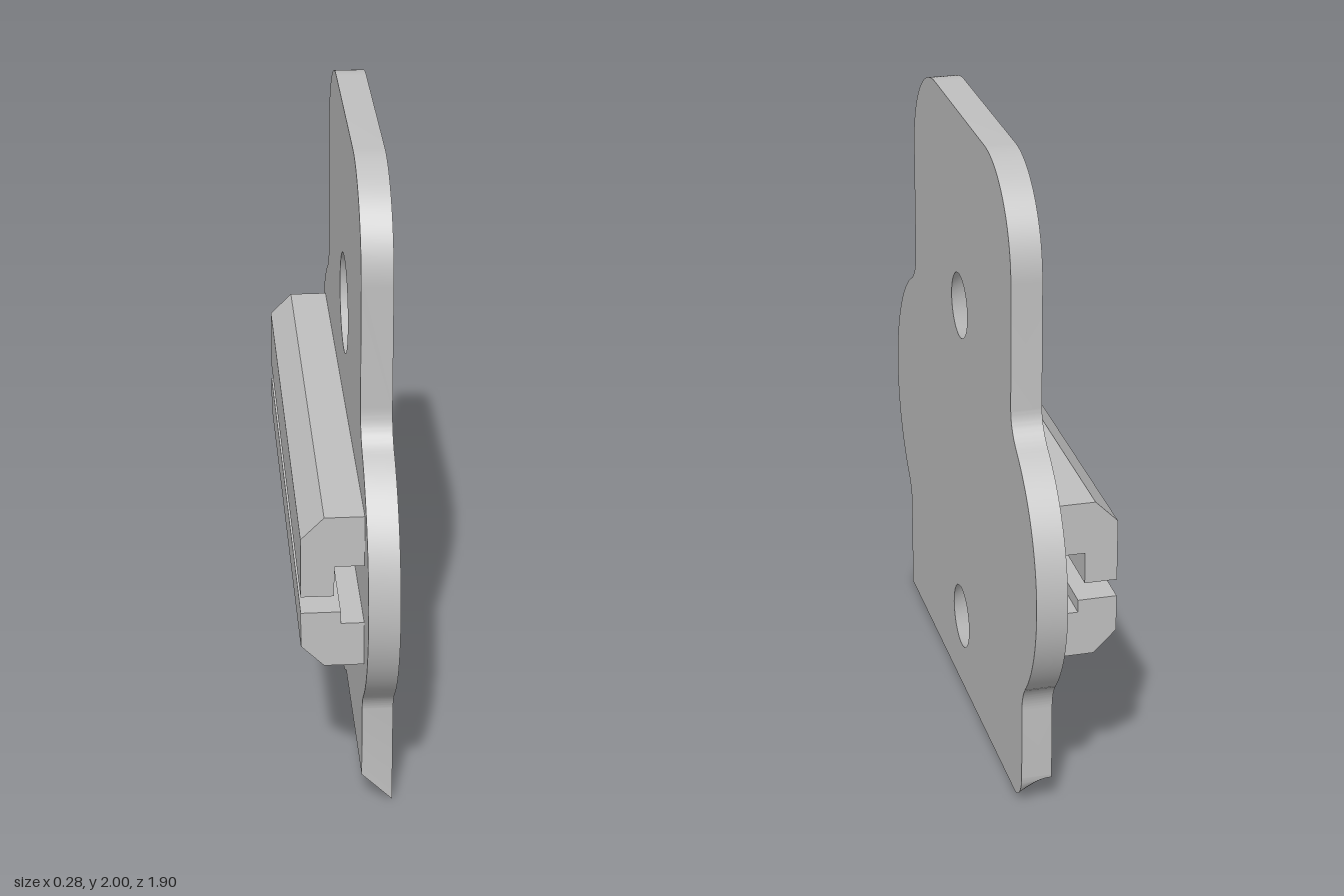
import * as THREE from 'three';
import { toCreasedNormals } from 'three/addons/utils/BufferGeometryUtils.js';

const BACK = 0.045, FRONT = 0.14;      // plate faces
const CHAMFER = 0.1;                   // height where the bottom chamfer meets the back face
const HOLES = [0.26, 1.365];           // hole heights
const HOLE_R = 0.105, SINK_R = 0.16, BOSS_R = 0.21;

// Plate outline, counter-clockwise
function outline() {
  const s = new THREE.Shape();
  s.moveTo(-0.75, 0.005);
  s.lineTo(0.69, 0.015);
  s.absellipse(0.69, 0.115, 0.095, 0.1, -Math.PI / 2, 0, false, 0);
  s.lineTo(0.785, 0.35);
  s.quadraticCurveTo(0.785, 0.4, 0.82, 0.44);
  s.absarc(0.47, 0.77, 0.48, -0.756, 1.023, false);
  s.quadraticCurveTo(0.645, 1.225, 0.645, 1.29);
  s.lineTo(0.645, 1.68);
  s.absellipse(0.33, 1.68, 0.315, 0.32, 0, Math.PI / 2, false, 0);
  s.lineTo(-0.31, 2);
  s.absellipse(-0.31, 1.69, 0.32, 0.31, Math.PI / 2, Math.PI, false, 0);
  s.lineTo(-0.63, 1.31);
  s.quadraticCurveTo(-0.63, 1.23, -0.7, 1.19);
  s.absarc(-0.47, 0.77, 0.48, 2.072, 3.942, false);
  s.quadraticCurveTo(-0.75, 0.38, -0.75, 0.33);
  return s.getPoints(20);
}

// Flat face with two round holes
function face(points, radius, depth) {
  const shape = new THREE.Shape(points);
  for (const y of HOLES) shape.holes.push(new THREE.Path().absarc(0, y, radius, 0, Math.PI * 2, true));
  return new THREE.ShapeGeometry(shape, 24).translate(0, 0, depth);
}

// Turn a geometry to face the other way
function flip(geometry) {
  geometry.index.array.reverse();
  geometry.computeVertexNormals();
  return geometry;
}

// Wall joining the back outline to the front outline
function wall(back, front) {
  const pos = [], n = front.length;
  const put = (p, z) => pos.push(p.x, p.y, z);
  for (let i = 0; i < n; i++) {
    const j = (i + 1) % n;
    put(back[i], BACK); put(back[j], BACK); put(front[j], FRONT);
    put(back[i], BACK); put(front[j], FRONT); put(front[i], FRONT);
  }
  const g = new THREE.BufferGeometry();
  g.setAttribute('position', new THREE.Float32BufferAttribute(pos, 3));
  return toCreasedNormals(g, 0.5);
}

// Open tube along the plate's thickness
function tube(rFront, rBack, z0, z1, y) {
  return new THREE.CylinderGeometry(rFront, rBack, z1 - z0, 48, 1, true)
    .rotateX(Math.PI / 2).translate(0, y, (z0 + z1) / 2);
}

export function createModel() {
  const model = new THREE.Group();
  model.name = 'mountingPlate';
  const grey = new THREE.MeshStandardMaterial({ color: 0xc0c0c0, side: THREE.DoubleSide });
  grey.name = 'grey';
  const add = (parent, name, geometry) => {
    const m = new THREE.Mesh(geometry, grey);
    m.name = name;
    parent.add(m);
  };

  // Plate, drawn facing +z and then turned to face +x
  const plate = new THREE.Group();
  plate.name = 'plate';
  plate.rotation.y = Math.PI / 2;
  model.add(plate);

  const front = outline();
  const back = front.map(p => new THREE.Vector2(p.x, Math.max(p.y, CHAMFER)));

  // Back face dips around the lower boss
  const half = Math.acos((HOLES[0] - CHAMFER) / BOSS_R);
  const dip = [];
  for (let i = 0; i <= 16; i++) {
    const a = -half + (2 * half * i) / 16;
    dip.push(new THREE.Vector2(BOSS_R * Math.sin(a), HOLES[0] - BOSS_R * Math.cos(a)));
  }
  const backFace = [back[0], ...dip, ...back.slice(1)];

  add(plate, 'frontFace', face(front, HOLE_R, FRONT));
  add(plate, 'backFace', flip(face(backFace, SINK_R, BACK)));
  add(plate, 'plateEdge', wall(back, front));
  for (const y of HOLES) add(plate, 'countersunkHole', flip(tube(HOLE_R, SINK_R, BACK, FRONT, y)));
  add(plate, 'lowerHoleBoss', tube(BOSS_R, BOSS_R, BACK, 0.1, HOLES[0]));

  // Two hooked rails along the back
  const rail = (name, profile) => {
    const shape = new THREE.Shape(profile.map(([x, y]) => new THREE.Vector2(x, y)));
    add(model, name, new THREE.ExtrudeGeometry(shape, { depth: 1.615, bevelEnabled: false }).translate(0, 0, -0.81));
  };
  rail('upperRail', [[0.045, 1.04], [-0.075, 1.04], [-0.145, 0.97], [-0.145, 0.775],
    [-0.045, 0.775], [-0.045, 0.875], [0.045, 0.875]]);
  rail('lowerRail', [[0.045, 0.68], [-0.025, 0.68], [-0.025, 0.72], [-0.145, 0.72],
    [-0.145, 0.605], [-0.075, 0.535], [0.045, 0.535]]);

  return model;
}
